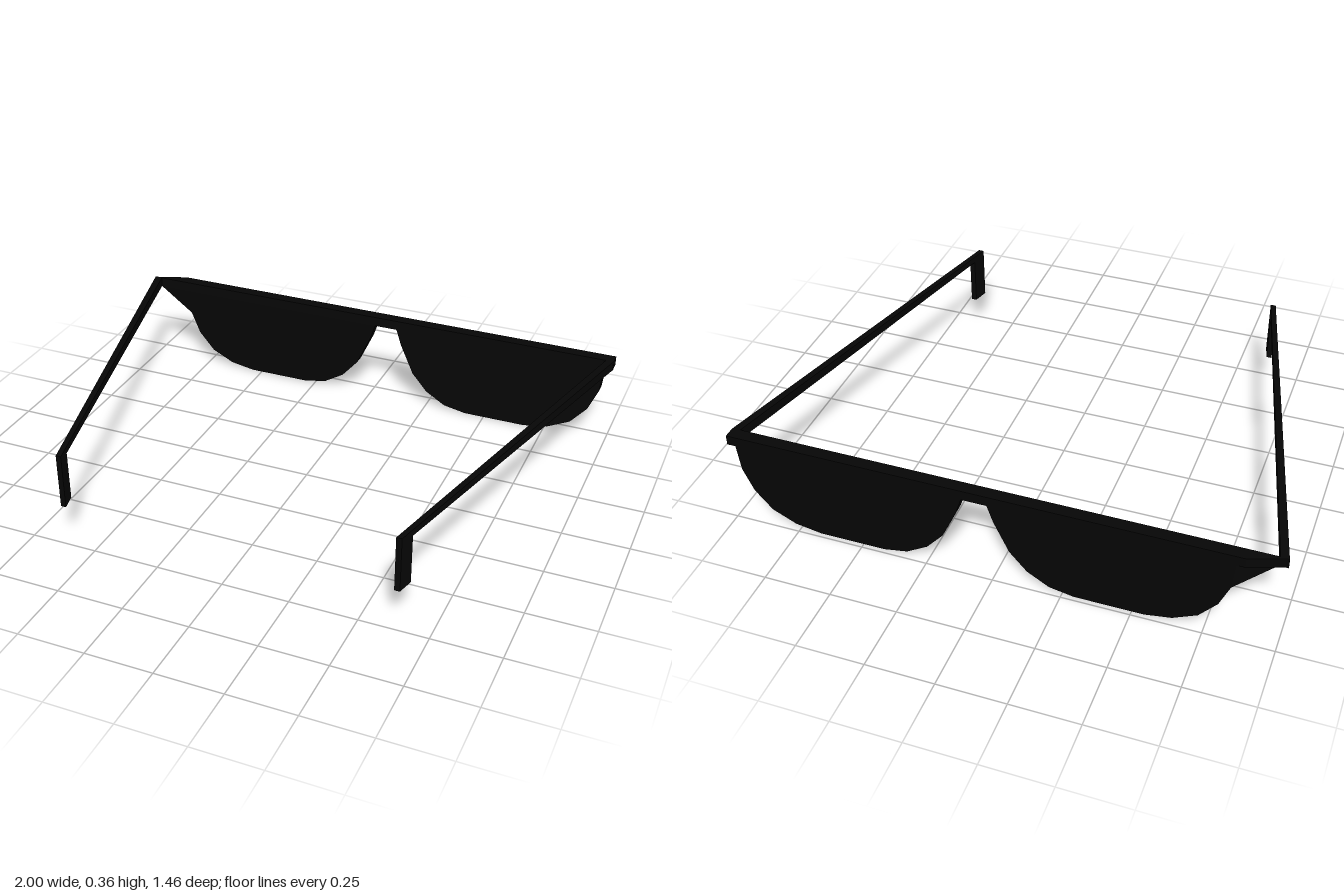
import * as THREE from 'three';

const material = new THREE.MeshStandardMaterial({ color: 0x060606, flatShading: true });
const BACK = -0.733, FRONT = -0.686, TIP = 0.73;

const shapeOf = (points) => new THREE.Shape(points.map(([x, y]) => new THREE.Vector2(x, y)));

// Move every vertex of a geometry by a rule
function reshape(geometry, rule) {
  const p = geometry.attributes.position;
  const v = new THREE.Vector3();
  for (let i = 0; i < p.count; i++) {
    rule(v.fromBufferAttribute(p, i));
    p.setXYZ(i, v.x, v.y, v.z);
  }
  geometry.computeVertexNormals();
  return geometry;
}

// Brow bar and both lenses in one outline
function createFrontFrame() {
  const lens = [
    [0.11, 0.327], [0.132, 0.26], [0.187, 0.14], [0.25, 0.068], [0.33, 0.02], [0.42, 0.003],
    [0.67, 0.003], [0.768, 0.02], [0.856, 0.063], [0.92, 0.137], [0.957, 0.225], [0.968, 0.327],
  ];
  const rightLens = lens.map(([x, y]) => [0.127 - x, y]);
  rightLens[rightLens.length - 1][0] = -0.97; // outer corner reaches the hinge
  const outline = [
    [1, 0.365], [-1, 0.365], [-1, 0.327],
    ...rightLens.reverse(), ...lens, [1, 0.327],
  ];
  const geometry = new THREE.ExtrudeGeometry(shapeOf(outline), { depth: FRONT - BACK, bevelEnabled: false });
  // Slanted end: the -x corner is cut back on the far face
  reshape(geometry, (v) => {
    if (v.z < 0.01 && v.x < -0.9) v.x += 0.13;
    v.z += BACK;
  });
  const mesh = new THREE.Mesh(geometry, material);
  mesh.name = 'frontFrame';
  return mesh;
}

// Tapered arm with a squared hook at its end, leaning inwards
function createTemple(side) {
  const profile = [
    [0.69, 0.327], [0.69, 0.365], [-TIP, 0.357], [-TIP, 0.147], [-0.668, 0.147], [-0.668, 0.333],
  ];
  const geometry = new THREE.ExtrudeGeometry(shapeOf(profile), { depth: 1, bevelEnabled: false });
  reshape(geometry, (v) => {
    const z = -v.x;
    const k = (z + 0.69) / (TIP + 0.69);
    const centre = THREE.MathUtils.lerp(0.985, 0.626, k);
    const width = THREE.MathUtils.lerp(0.03, 0.02, k);
    v.set(side * centre + (v.z - 0.5) * width, v.y, z);
  });
  const mesh = new THREE.Mesh(geometry, material);
  mesh.name = side > 0 ? 'leftTemple' : 'rightTemple';
  return mesh;
}

export function createModel() {
  const group = new THREE.Group();
  group.name = 'sunglasses';
  group.add(createFrontFrame(), createTemple(1), createTemple(-1));
  return group;
}
